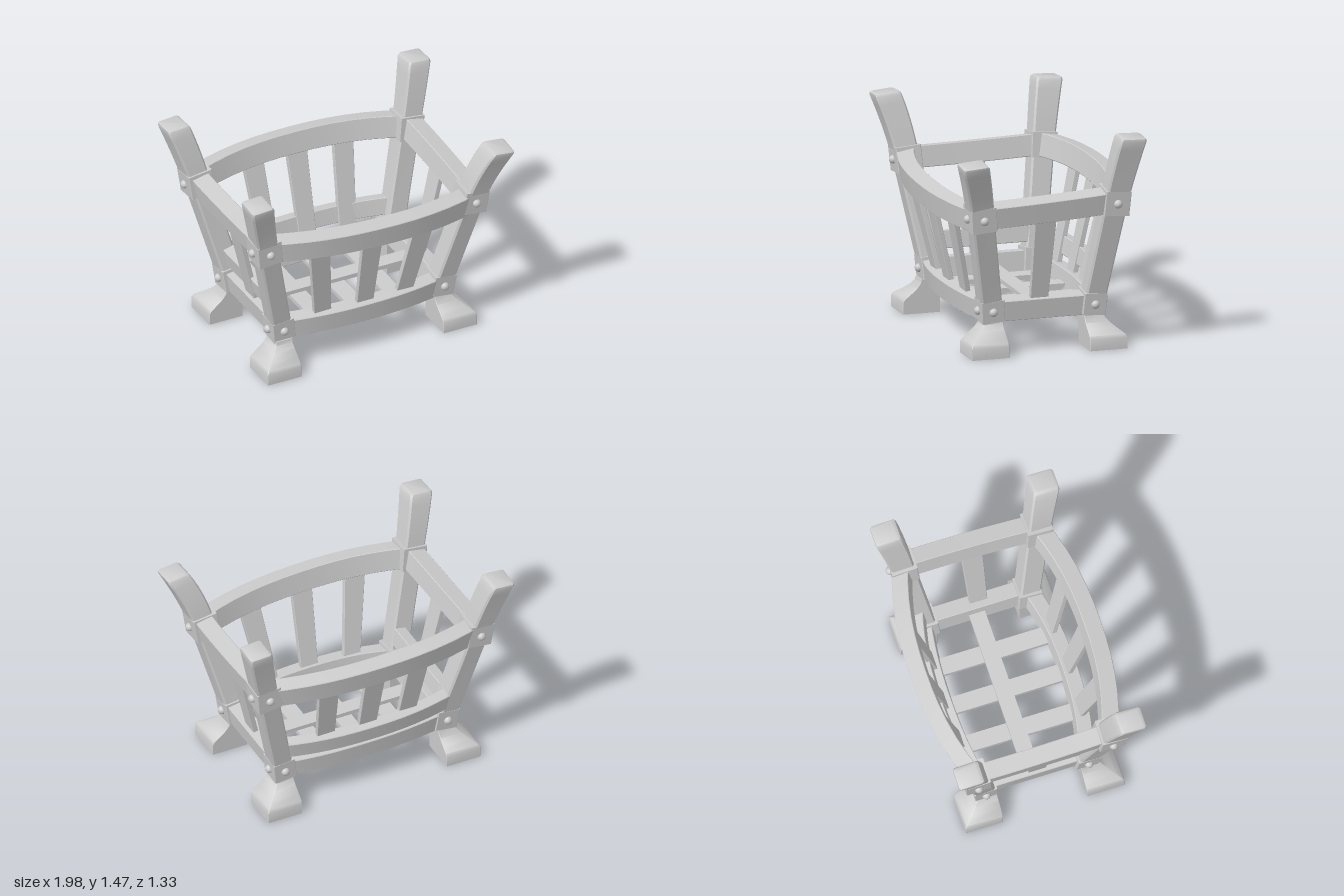
import * as THREE from 'three';
import { toCreasedNormals } from 'three/addons/utils/BufferGeometryUtils.js';

const V = (x, y, z) => new THREE.Vector3(x, y, z);
const X = V(1, 0, 0), Y = V(0, 1, 0), Z = V(0, 0, 1);
const iron = new THREE.MeshStandardMaterial({ color: 0xcccccc });
iron.name = 'light grey iron';

// Sweeps a bevelled rectangle along rings {p, w, d, up}; w runs along ref, d across it.
// up (0 to 1) turns a ring from square-on to the path towards level.
function loft(rings, ref, bevel = 0.01) {
  const pos = [], idx = [], n = 8;
  rings.forEach((r, i) => {
    const a = rings[Math.max(i - 1, 0)].p, b = rings[Math.min(i + 1, rings.length - 1)].p;
    const t = b.clone().sub(a).normalize().lerp(Y, r.up ?? 0).normalize();
    const u = ref.clone().addScaledVector(t, -ref.dot(t)).normalize();
    const v = t.clone().cross(u);
    const hw = r.w / 2, hd = r.d / 2, c = bevel;
    const section = [[hw, -hd + c], [hw, hd - c], [hw - c, hd], [-hw + c, hd],
      [-hw, hd - c], [-hw, -hd + c], [-hw + c, -hd], [hw - c, -hd]];
    for (const [x, y] of section) {
      const q = r.p.clone().addScaledVector(u, x).addScaledVector(v, y);
      pos.push(q.x, q.y, q.z);
    }
  });
  for (let i = 0; i < rings.length - 1; i++) {
    for (let j = 0; j < n; j++) {
      const a = i * n + j, b = i * n + (j + 1) % n;
      idx.push(a, b, b + n, a, b + n, a + n);
    }
  }
  const last = (rings.length - 1) * n;
  for (let j = 1; j < n - 1; j++) idx.push(0, j + 1, j, last, last + j, last + j + 1);
  const g = new THREE.BufferGeometry();
  g.setAttribute('position', new THREE.Float32BufferAttribute(pos, 3));
  g.setIndex(idx);
  return toCreasedNormals(g.toNonIndexed(), 0.6);
}

function add(parent, name, geometry) {
  const m = new THREE.Mesh(geometry, iron);
  m.name = name;
  parent.add(m);
  return m;
}

// Horizontal bar from a to b, bowed by the vector bow at its middle.
function bandGeometry(a, b, bow, h, t, lean) {
  const rings = [];
  for (let i = 0; i <= 12; i++) {
    const k = i / 12, s = Math.abs(2 * k - 1);
    rings.push({ p: a.clone().lerp(b, k).addScaledVector(bow, 1 - s ** 2.3), w: h, d: t });
  }
  return loft(rings, lean, 0.004);
}

// Corner posts: bottom, bracket and top centres, and the foot's inner corner.
const corners = [
  { name: 'frontLeft', low: V(0.595, 0.305, 0.335), mid: V(0.765, 0.975, 0.455), top: V(0.925, 1.375, 0.56), foot: [0.53, 0.26] },
  { name: 'frontRight', low: V(-0.6, 0.31, 0.35), mid: V(-0.765, 1.015, 0.465), top: V(-0.875, 1.45, 0.578), foot: [-0.54, 0.3] },
  { name: 'backLeft', low: V(0.6, 0.305, -0.37), mid: V(0.765, 1.02, -0.47), top: V(0.87, 1.473, -0.555), foot: [0.53, -0.3] },
  { name: 'backRight', low: V(-0.6, 0.31, -0.36), mid: V(-0.785, 1.03, -0.475), top: V(-0.915, 1.457, -0.56), foot: [-0.54, -0.28] },
];

function corner({ name, low, mid, top, foot }) {
  const g = new THREE.Group();
  g.name = name + 'Corner';
  const sx = Math.sign(low.x), sz = Math.sign(low.z);

  // Post: straight below the upper bracket, flaring outward to a nearly level top
  const dir = mid.clone().sub(low).normalize();
  const rings = [
    { p: low.clone().addScaledVector(dir, -0.07), w: 0.135, d: 0.14 },
    { p: mid.clone(), w: 0.14, d: 0.155 },
  ];
  const ctrl = mid.clone().addScaledVector(dir, top.distanceTo(mid) * 0.5);
  const curve = new THREE.QuadraticBezierCurve3(mid, ctrl, top);
  for (let i = 1; i <= 7; i++) {
    const k = i / 7;
    rings.push({ p: curve.getPoint(k * 0.95), w: 0.14 + 0.022 * k, d: 0.155 + 0.025 * k, up: 0.75 * k });
  }
  rings.push({ p: curve.getPoint(0.985), w: 0.15, d: 0.17, up: 0.75 });
  rings.push({ p: top, w: 0.125, d: 0.145, up: 0.75 });
  add(g, 'post', loft(rings, X, 0.012));

  // Brackets with domed bolts on both outer faces
  const turn = new THREE.Quaternion().setFromUnitVectors(Y, dir);
  for (const [label, at, s, h] of [['lower', low, 0.158, 0.15], ['upper', mid, 0.174, 0.168]]) {
    const holder = new THREE.Group();
    holder.name = label + 'Bracket';
    holder.position.copy(at);
    holder.quaternion.slerp(turn, 0.5);
    add(holder, 'bracketBlock', loft([
      { p: V(0, -h / 2, 0), w: s, d: s }, { p: V(0, h / 2, 0), w: s, d: s },
    ], X, 0.004));
    const bolt = new THREE.SphereGeometry(0.029, 16, 10);
    add(holder, 'frontBolt', bolt).position.set(0, 0, sz * s / 2);
    add(holder, 'sideBolt', bolt).position.set(sx * s / 2, 0, 0);
    g.add(holder);
  }

  // Foot: upright inner faces, outer faces curving out to a square base
  const profile = [[0.008, 0.25], [0.085, 0.25], [0.105, 0.24], [0.14, 0.195], [0.175, 0.155], [0.21, 0.128], [0.236, 0.122]];
  add(g, 'foot', loft(profile.map(([y, s]) => ({
    p: V(foot[0] + sx * s / 2, y, foot[1] + sz * (s + 0.01) / 2), w: s, d: s + 0.01, up: 1,
  })), X, 0.004));
  return g;
}

export function createModel() {
  const model = new THREE.Group();
  model.name = 'fireBasket';
  for (const c of corners) model.add(corner(c));

  // Bands: name, ends, bow, height, thickness, upward lean
  const none = V(0, 0, 0);
  const bands = [
    ['upperFrontBand', V(-0.765, 1.01, 0.455), V(0.765, 0.955, 0.455), V(0, 0, 0.125), 0.155, 0.115, V(0, 1, 0.17)],
    ['upperBackBand', V(-0.785, 1.03, -0.475), V(0.765, 1.015, -0.47), V(0, 0.018, -0.128), 0.155, 0.11, V(0, 1, -0.2)],
    ['upperLeftBand', V(0.765, 0.978, 0.455), V(0.77, 1.025, -0.47), V(0.01, -0.003, 0), 0.148, 0.12, V(0.2, 1, 0)],
    ['upperRightBand', V(-0.765, 1.015, 0.465), V(-0.78, 1.03, -0.475), V(-0.005, -0.005, 0), 0.145, 0.12, V(-0.2, 1, 0)],
    ['lowerFrontBand', V(-0.6, 0.3, 0.345), V(0.595, 0.295, 0.34), V(0, 0.01, 0.08), 0.14, 0.1, V(0, 1, 0.15)],
    ['lowerBackBand', V(-0.6, 0.3, -0.36), V(0.6, 0.3, -0.37), V(0, 0, -0.055), 0.13, 0.1, V(0, 1, -0.15)],
    ['lowerLeftBand', V(0.6, 0.3, 0.335), V(0.6, 0.3, -0.37), none, 0.14, 0.11, V(0.15, 1, 0)],
    ['lowerRightBand', V(-0.595, 0.3, 0.35), V(-0.595, 0.3, -0.36), none, 0.14, 0.11, V(-0.15, 1, 0)],
    ['middleBackBand', V(-0.65, 0.475, -0.4), V(0.64, 0.475, -0.4), V(0, -0.005, -0.088), 0.12, 0.08, V(0, 1, -0.2)],
    ['middleRightBand', V(-0.615, 0.48, 0.37), V(-0.615, 0.48, -0.39), none, 0.12, 0.08, V(-0.2, 1, 0)],
  ];
  for (const [name, ...args] of bands) add(model, name, bandGeometry(...args));

  // Upright slats between the bands
  const slat = (name, a, b, ref) => add(model, name, loft(
    [{ p: a, w: 0.12, d: 0.035 }, { p: b, w: 0.15, d: 0.035 }], ref, 0.003));
  for (const [low, high] of [[-0.3, -0.4], [-0.005, -0.01], [0.285, 0.39]]) {
    const bow = 0.05 * Math.abs(low);
    slat('frontSlat', V(low, 0.3, 0.405 - bow), V(high, 0.98, 0.555 - bow), X);
    slat('backSlat', V(low * 0.97 + 0.02, 0.3, -0.415 + bow), V(high * 0.85 + 0.01, 1.03, -0.585 + bow), X);
  }
  for (const s of [1, -1]) slat('sideSlat', V(s * 0.605, 0.3, 0.005), V(s * 0.765, 1, 0), Z);

  // Floor grate
  for (const x of [-0.295, -0.01, 0.27]) {
    add(model, 'grateBar', new THREE.BoxGeometry(0.118, 0.03, 0.78)).position.set(x, 0.275, 0);
  }
  add(model, 'grateCrossBar', new THREE.BoxGeometry(1.15, 0.03, 0.11)).position.set(0, 0.302, -0.025);
  return model;
}
